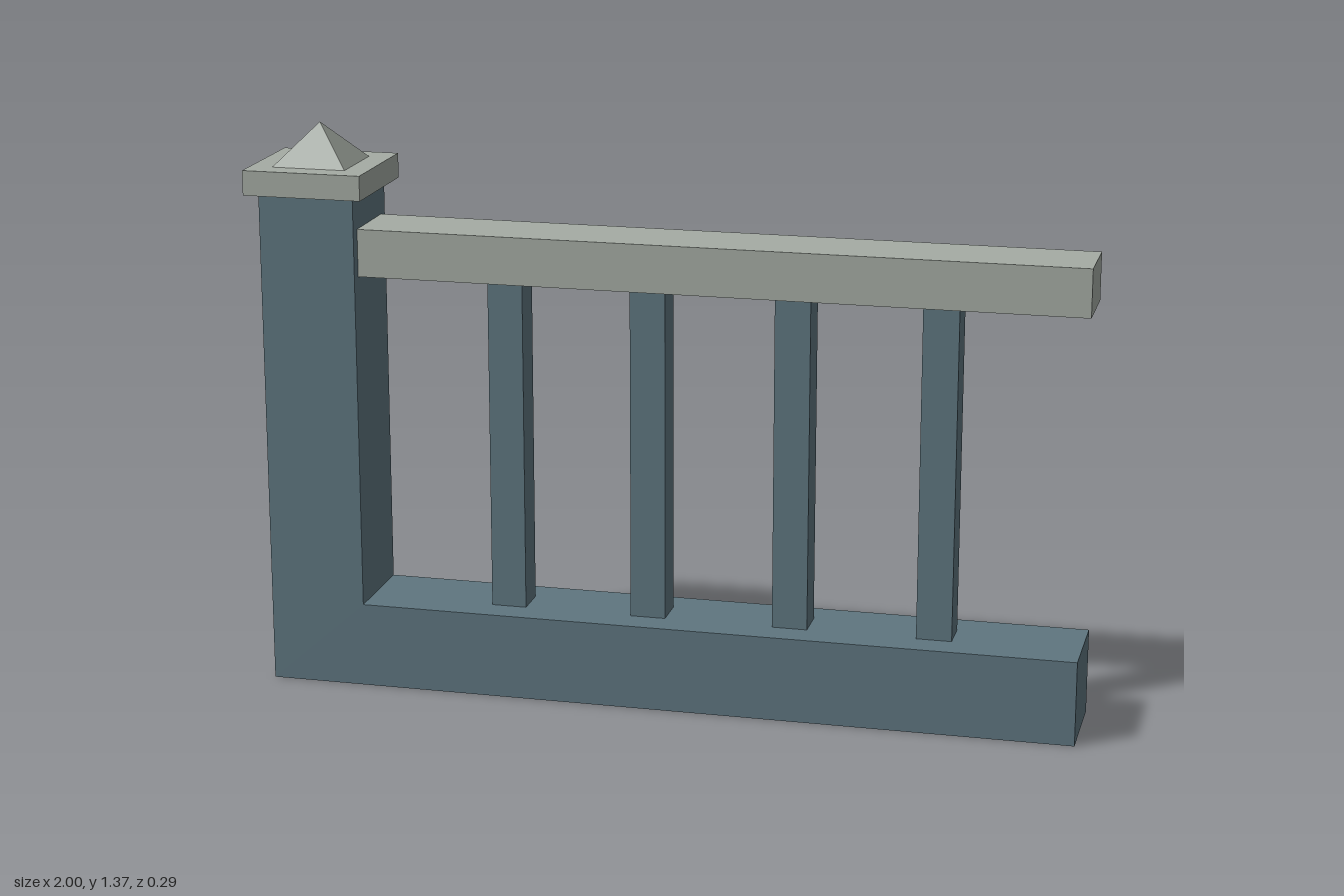
import * as THREE from 'three';

export function createModel() {
  const model = new THREE.Group();
  model.name = 'balustrade';

  const slate = new THREE.MeshStandardMaterial({ color: 0x5f7680 });
  slate.name = 'slate blue';
  const stone = new THREE.MeshStandardMaterial({ color: 0xa5aca4 });
  stone.name = 'pale stone';

  const add = (name, geometry, material, x, y, z = 0) => {
    const mesh = new THREE.Mesh(geometry, material);
    mesh.name = name;
    mesh.position.set(x, y, z);
    model.add(mesh);
    return mesh;
  };
  // Box given by its x and y limits, centred on z = 0
  const block = (name, material, x0, x1, y0, y1, depth) =>
    add(name, new THREE.BoxGeometry(x1 - x0, y1 - y0, depth), material, (x0 + x1) / 2, (y0 + y1) / 2);

  // Post and plinth in one L-shaped piece
  const postX = -0.855, depth = 0.234, plinthTop = 0.207;
  const outline = new THREE.Shape([
    [-0.972, 0], [1, 0], [1, plinthTop], [-0.738, plinthTop], [-0.738, 1.215], [-0.972, 1.215],
  ].map(([x, y]) => new THREE.Vector2(x, y)));
  add('postAndPlinth', new THREE.ExtrudeGeometry(outline, { depth, bevelEnabled: false }), slate, 0, 0, -depth / 2);

  // Cap slab with a four-sided point
  block('postCap', stone, -1, -0.71, 1.215, 1.275, 0.29);
  const point = new THREE.ConeGeometry(0.09 * Math.SQRT2, 0.097, 4, 1).toNonIndexed();
  point.rotateY(Math.PI / 4);
  point.computeVertexNormals();
  add('capPoint', point, stone, postX, 1.275 + 0.0485);

  // Handrail
  block('handrail', stone, -0.738, 1, 1.02, 1.135, 0.178);

  // Balusters
  for (let i = 0; i < 4; i++) {
    const x = -0.39 + i * 0.3475;
    block('baluster', slate, x - 0.0425, x + 0.0425, plinthTop, 1.02, 0.085);
  }

  return model;
}
